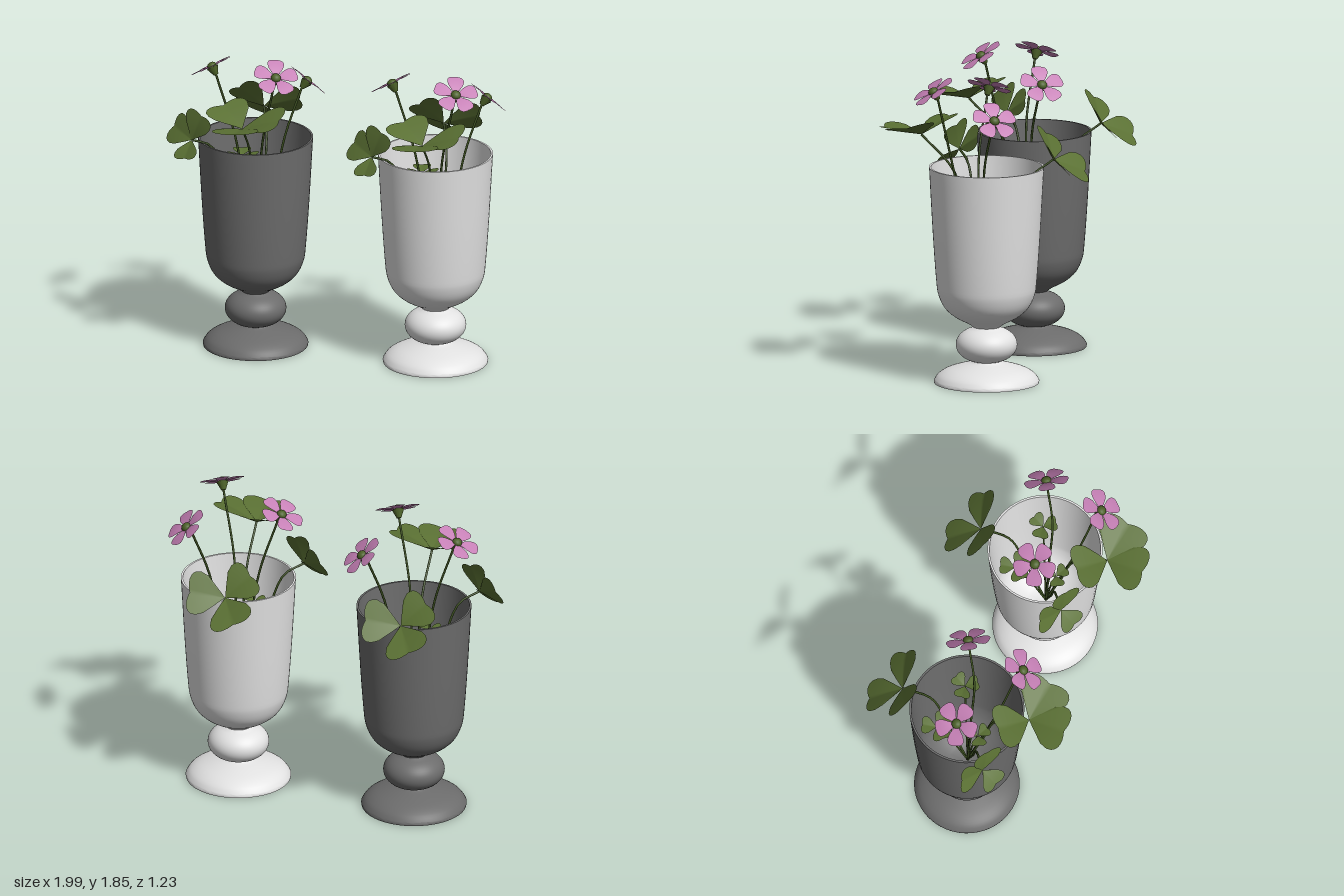
import * as THREE from 'three';
import { toCreasedNormals } from 'three/addons/utils/BufferGeometryUtils.js';

const mat = (name, color, side = THREE.FrontSide) => {
  const m = new THREE.MeshStandardMaterial({ color, side });
  m.name = name;
  return m;
};
const V = (a) => new THREE.Vector3(...a);

// Goblet centre and the spacing between the two goblets
const CX = -0.5, CZ = -0.02, SPACING = 1.105;

// Closed profile: foot, knob, bowl outside, rim, bowl inside
function gobletGeometry() {
  const pts = [[0, 0], [0.31, 0], [0.312, 0.012]];
  const smooth = (list, n) => new THREE.SplineCurve(list.map((p) => new THREE.Vector2(...p)))
    .getPoints(n).forEach((p) => pts.push([p.x, p.y]));
  smooth([[0.308, 0.02], [0.285, 0.05], [0.235, 0.08], [0.16, 0.104], [0.095, 0.12], [0.08, 0.13]], 16);
  for (let i = 0; i <= 18; i++) {
    const a = -1.1 + (2.2 * i) / 18;
    pts.push([0.182 * Math.cos(a) ** 0.85, 0.229 + 0.109 * Math.sin(a)]);
  }
  const bowl = [[0.08, 0.335], [0.11, 0.357], [0.19, 0.4], [0.25, 0.455], [0.285, 0.53],
    [0.298, 0.62], [0.318, 0.9], [0.34, 1.3]];
  smooth(bowl, 28);
  const inner = bowl.slice(1).reverse().map(([r, y]) => [r - 0.012, y === 1.3 ? y : y + 0.015]);
  smooth(inner, 26);
  pts.push([0, 0.37]);
  const g = new THREE.LatheGeometry(pts.map((p) => new THREE.Vector2(...p)), 64);
  return toCreasedNormals(g, 0.7);
}

// Fan-shaped blade along +y, facing +z; notch makes it heart-shaped
function bladeGeometry(halfAngle, notch, fold, curl) {
  const g = new THREE.PlaneGeometry(2, 1, 20, 5);
  const p = g.attributes.position;
  for (let i = 0; i < p.count; i++) {
    const u = p.getX(i), t = p.getY(i) + 0.5, k = Math.abs(u);
    const r = t * (1 - notch + 2.1 * notch * k) * Math.sqrt(Math.max(0, 1 - k ** 4));
    const x = r * Math.sin(u * halfAngle), y = r * Math.cos(u * halfAngle);
    p.setXYZ(i, x, y, fold * Math.abs(x) + curl * r * (1 - r));
  }
  g.computeVertexNormals();
  return g;
}

const leafletGeo = bladeGeometry(0.85, 0.14, 0.12, 0.1);
const petalGeo = bladeGeometry(0.61, 0.02, 0, 0.2);

// Place a blade at a point, stretched along dir and facing roughly normal
function blade(geo, material, name, at, dir, normal) {
  const y = dir.clone().normalize();
  const x = y.clone().cross(normal).normalize();
  const m = new THREE.Mesh(geo, material);
  m.quaternion.setFromRotationMatrix(new THREE.Matrix4().makeBasis(x, y, x.clone().cross(y)));
  m.position.copy(at);
  m.scale.setScalar(dir.length());
  m.name = name;
  return m;
}

function stem(points, radius, material) {
  const curve = new THREE.CatmullRomCurve3(points.map(V));
  const m = new THREE.Mesh(new THREE.TubeGeometry(curve, 20, radius, 6), material);
  m.name = 'stem';
  return m;
}

// Three heart leaflets around a centre
function clover(center, tips, normal, material) {
  const g = new THREE.Group();
  g.name = 'cloverLeaf';
  const c = V(center), n = V(normal).normalize();
  tips.forEach((t) => g.add(blade(leafletGeo, material, 'leaflet', c, V(t).sub(c), n)));
  return g;
}

// Small regular clover given by size and turn
function smallClover(center, size, turn, material) {
  const tips = [0, 1, 2].map((i) => {
    const a = turn + (i * Math.PI * 2) / 3;
    return [center[0] + size * Math.cos(a), center[1] + 0.02, center[2] + size * Math.sin(a)];
  });
  return clover(center, tips, [0, 1, 0], material);
}

// Five petals, a green eye and a cup of sepals beneath, facing +y before tilting
function flower(center, normal, turn, mats) {
  const g = new THREE.Group();
  g.name = 'flower';
  for (let i = 0; i < 5; i++) {
    const a = turn + (i * Math.PI * 2) / 5;
    const dir = new THREE.Vector3(0.135 * Math.cos(a), 0.012, 0.135 * Math.sin(a));
    g.add(blade(petalGeo, mats.petal, 'petal', new THREE.Vector3(), dir, new THREE.Vector3(0, 1, 0)));
  }
  const eye = new THREE.Mesh(new THREE.SphereGeometry(0.03, 14, 8), mats.green);
  eye.name = 'flowerEye';
  eye.scale.y = 0.8;
  eye.position.y = 0.008;
  const sepals = new THREE.Mesh(new THREE.CylinderGeometry(0.036, 0.014, 0.05, 10), mats.green);
  sepals.name = 'sepals';
  sepals.position.y = -0.024;
  g.add(eye, sepals);
  g.quaternion.setFromUnitVectors(new THREE.Vector3(0, 1, 0), V(normal).normalize());
  g.position.set(...center);
  return g;
}

function plant(mats) {
  const g = new THREE.Group();
  g.name = 'plant';
  const root = [-0.49, 0.4, -0.02];

  // Large leaves: centre, leaflet tips, facing, and where the stem passes the rim
  const leaves = [
    { c: [-0.56, 1.35, -0.41], n: [0, 0.6, -0.8], via: [-0.5, 1.22, -0.26],
      tips: [[-0.69, 1.25, -0.6], [-0.33, 1.39, -0.49], [-0.71, 1.5, -0.32]] },
    { c: [-0.82, 1.33, 0.23], n: [-0.35, 0.35, 0.85], via: [-0.72, 1.27, 0.15],
      tips: [[-0.97, 1.39, 0.14], [-0.75, 1.51, 0.23], [-0.84, 1.23, 0.34]] },
    { c: [-0.47, 1.48, 0.37], n: [-0.05, 0.97, 0.2], via: [-0.48, 1.26, 0.17],
      tips: [[-0.46, 1.52, 0.63], [-0.65, 1.58, 0.22], [-0.2, 1.57, 0.4]] },
  ];
  for (const l of leaves) {
    g.add(clover(l.c, l.tips, l.n, mats.leaf));
    g.add(stem([root, [(root[0] + l.via[0]) / 2, 0.85, (root[2] + l.via[2]) / 2], l.via, l.c], 0.007, mats.stem));
  }

  // Young leaves inside the bowl
  const young = [[[-0.62, 1.12, -0.16], 0.1, 0.2], [[-0.31, 1.1, -0.12], 0.09, 0.9], [[-0.56, 1.1, 0.08], 0.08, 0.5]];
  for (const [c, size, turn] of young) {
    g.add(smallClover(c, size, turn, mats.leaf));
    g.add(stem([root, [(root[0] + c[0]) / 2, 0.8, (root[2] + c[2]) / 2], c], 0.006, mats.stem));
  }

  // Flowers: centre, facing, turn, and stem point at rim height
  const flowers = [
    [[-0.75, 1.725, 0.03], [-0.48, 0.86, -0.12], 0.3, [-0.6, 1.3, 0.055]],
    [[-0.22, 1.63, -0.14], [0.52, 0.72, -0.38], 0.1, [-0.33, 1.3, -0.05]],
    [[-0.3, 1.77, 0.25], [0.3, 0.82, 0.45], 0.6, [-0.41, 1.3, 0.16]],
  ];
  for (const [c, n, turn, via] of flowers) {
    g.add(flower(c, n, turn, mats));
    const neck = V(c).addScaledVector(V(n).normalize(), -0.045).toArray();
    g.add(stem([root, [(root[0] + via[0]) / 2, 0.85, (root[2] + via[2]) / 2], via, neck], 0.007, mats.stem));
  }
  return g;
}

export function createModel() {
  const model = new THREE.Group();
  model.name = 'plantedGoblets';
  const mats = {
    leaf: mat('leaf green', 0x5a7033, THREE.DoubleSide),
    stem: mat('stem green', 0x3c5020),
    green: mat('flower green', 0x4c6228),
    petal: mat('petal pink', 0xc680b6, THREE.DoubleSide),
  };
  const gobletGeo = gobletGeometry();
  const colours = [mat('dark grey', 0x6c6c6c), mat('off white', 0xe2e2e2)];
  colours.forEach((material, i) => {
    const pot = new THREE.Group();
    pot.name = i ? 'lightPlanter' : 'darkPlanter';
    const goblet = new THREE.Mesh(gobletGeo, material);
    goblet.name = 'goblet';
    goblet.position.set(CX, 0, CZ);
    pot.add(goblet, plant(mats));
    pot.position.x = i * SPACING;
    model.add(pot);
  });
  return model;
}
